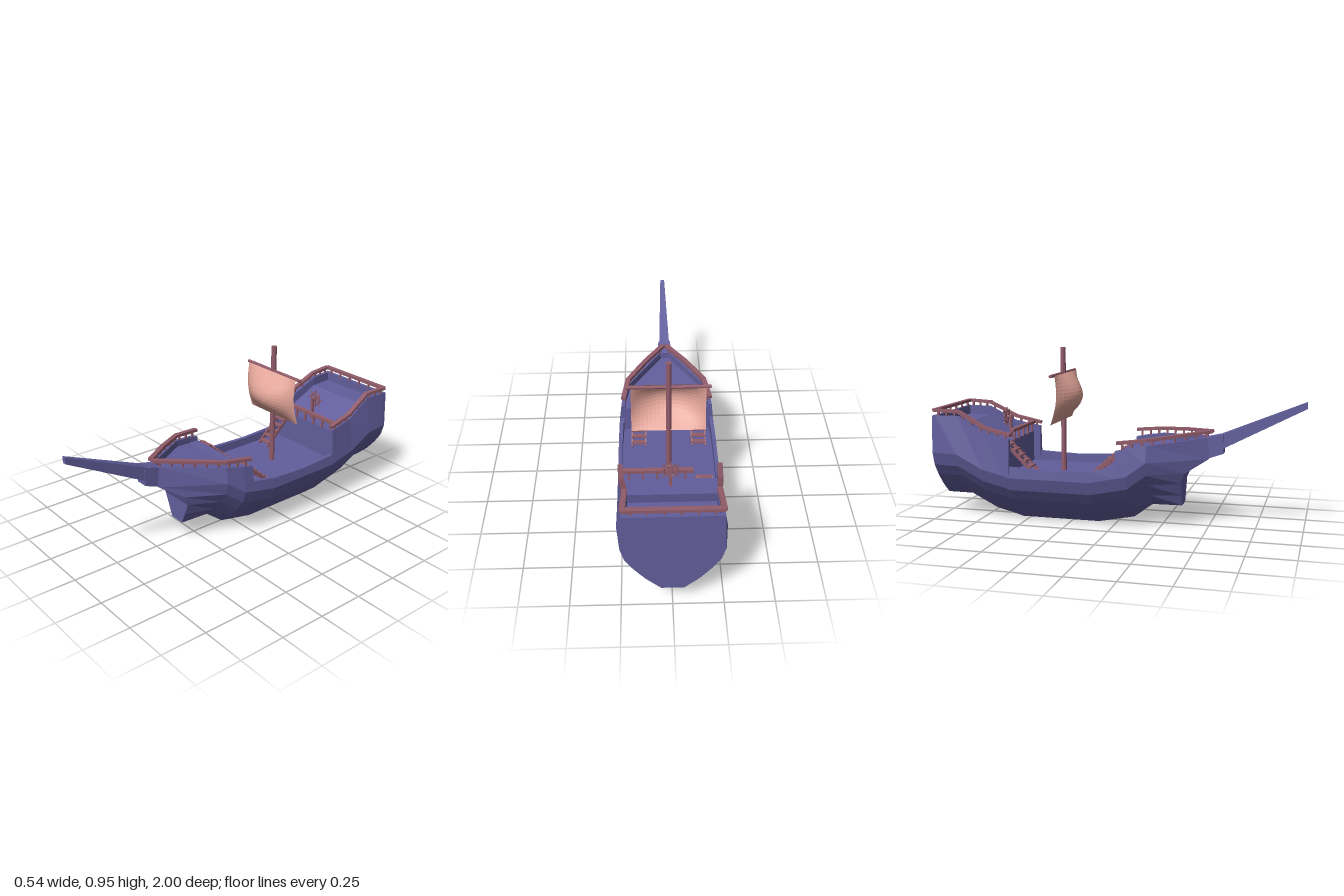
import * as THREE from 'three';

const mat = (name, color) => {
  const m = new THREE.MeshStandardMaterial({ color, flatShading: true });
  m.name = name;
  return m;
};
const V = (x, y, z) => new THREE.Vector3(x, y, z);

export function createModel() {
  const ship = new THREE.Group();
  ship.name = 'sailingShip';
  const hullMat = mat('hullBlue', 0x625e9c);
  const woodMat = mat('trimRed', 0x915c6a);
  const sailMat = mat('sailPink', 0xe3a599);
  sailMat.side = THREE.DoubleSide;

  const group = (name, parent = ship) => {
    const g = new THREE.Group();
    g.name = name;
    parent.add(g);
    return g;
  };
  const add = (parent, name, geo, material) => {
    const m = new THREE.Mesh(geo, material);
    m.name = name;
    parent.add(m);
    return m;
  };
  // Square bar stretched between two points
  const bar = (parent, name, a, b, w, h = w) => {
    const m = add(parent, name, new THREE.BoxGeometry(w, h, a.distanceTo(b)), woodMat);
    m.position.copy(a).lerp(b, 0.5);
    m.lookAt(b);
    return m;
  };
  // Skin closed cross-sections (listed towards +z, counter-clockwise) and cap both ends
  const loft = (name, rings) => {
    const pos = [], n = rings[0].length;
    const quad = (a, b, c, d) => [a, b, c, a, c, d].forEach(p => pos.push(p.x, p.y, p.z));
    for (let i = 0; i < rings.length - 1; i++)
      for (let k = 0; k < n; k++) {
        const l = (k + 1) % n;
        quad(rings[i][k], rings[i][l], rings[i + 1][l], rings[i + 1][k]);
      }
    const s = rings[0], e = rings[rings.length - 1];
    for (let k = 0; k < n / 2 - 1; k++) {
      quad(s[k], s[n - 1 - k], s[n - 2 - k], s[k + 1]);
      quad(e[k], e[k + 1], e[n - 2 - k], e[n - 1 - k]);
    }
    const geo = new THREE.BufferGeometry();
    geo.setAttribute('position', new THREE.Float32BufferAttribute(pos, 3));
    geo.computeVertexNormals();
    return add(ship, name, geo, hullMat);
  };
  const mirrorRing = half => [...half, ...half.map(p => V(-p.x, p.y, p.z)).reverse()];

  // Hull, bulwarks and decks in one skin
  const bilge = [[0.06, 0], [0.14, 0.065], [0.2, 0.13], [0.245, 0.19], [0.268, 0.26]];
  const section = ([z, keel, scale, topX, topY, deckY]) => mirrorRing([
    ...bilge.map(([x, y]) => V(x * scale, y + keel, z)),
    V(topX, topY, z), V(topX - 0.02, topY, z), V(topX - 0.02, deckY, z)]);
  const rings = [ // z, keel height, width scale, gunwale x, gunwale y, deck y
    [-1, 0.115, 0.92, 0.238, 0.58, 0.58],
    [-0.98, 0.115, 0.93, 0.236, 0.58, 0.58],
    [-0.98, 0.115, 0.93, 0.236, 0.58, 0.53],
    [-0.85, 0.115, 0.99, 0.228, 0.58, 0.53],
    [-0.7, 0.04, 1, 0.245, 0.5, 0.44],
    [-0.585, 0.012, 1, 0.253, 0.477, 0.44],
    [-0.585, 0.012, 1, 0.253, 0.477, 0.265],
    [-0.545, 0, 1, 0.256, 0.47, 0.265],
    [-0.545, 0, 1, 0.262, 0.32, 0.265],
    [-0.32, 0, 1, 0.264, 0.31, 0.265],
    [-0.1, 0, 1, 0.264, 0.32, 0.265],
    [0.04, 0.028, 0.99, 0.258, 0.343, 0.265],
    [0.04, 0.028, 0.99, 0.25, 0.432, 0.41],
    [0.1, 0.04, 0.98, 0.245, 0.445, 0.412],
    [0.2, 0.115, 0.9, 0.225, 0.462, 0.425]].map(section);
  // Raked stem
  rings.push(mirrorRing([
    V(0.045, 0.115, 0.36), V(0.07, 0.175, 0.36), V(0.1, 0.245, 0.36), V(0.11, 0.305, 0.385),
    V(0.043, 0.375, 0.5), V(0.032, 0.49, 0.505), V(0.012, 0.49, 0.5), V(0.012, 0.45, 0.495)]));
  loft('hull', rings);

  // Bowsprit and its block
  const rect = (z, w, y0, y1) => mirrorRing([V(w, y0, z), V(w, y1, z)]);
  loft('bowspritBlock', [rect(0.48, 0.042, 0.372, 0.485), rect(0.575, 0.034, 0.405, 0.508)]);
  loft('bowsprit', [rect(0.54, 0.03, 0.415, 0.497), rect(1, 0.012, 0.655, 0.69)]);

  // Railings: bars along a path with posts below
  const railing = (name, pts, posts, drop) => {
    const g = group(name);
    for (let i = 0; i < pts.length - 1; i++) {
      const dir = pts[i + 1].clone().sub(pts[i]).setLength(0.005);
      bar(g, 'handrail', pts[i].clone().sub(dir), pts[i + 1].clone().add(dir), 0.026, 0.016);
      for (let k = 0; k < posts[i]; k++) {
        const p = pts[i].clone().lerp(pts[i + 1], (k + 0.5) / posts[i]);
        bar(g, 'post', p, V(p.x, p.y - drop, p.z), 0.01);
      }
    }
  };
  for (const s of [1, -1]) {
    const side = s > 0 ? 'left' : 'right';
    railing(side + 'SternRail', [V(s * 0.247, 0.492, -0.545), V(s * 0.238, 0.524, -0.69),
      V(s * 0.22, 0.605, -0.85), V(s * 0.23, 0.61, -0.985)], [3, 3, 3], 0.04);
    railing(side + 'BowRail', [V(s * 0.237, 0.474, 0.05), V(s * 0.213, 0.49, 0.2),
      V(s * 0.115, 0.507, 0.36), V(s * 0.012, 0.518, 0.505)], [3, 3, 3], 0.05);
  }
  railing('transomRail', [V(-0.23, 0.61, -0.985), V(0.23, 0.61, -0.985)], [6], 0.04);
  railing('quarterdeckRail', [V(-0.11, 0.494, -0.585), V(0.238, 0.494, -0.585)], [5], 0.06);

  // Stairs: two stringers and a run of treads
  const stairs = (name, x, top, bottom, steps) => {
    const g = group(name);
    for (const s of [1, -1])
      bar(g, 'stringer', V(x + s * 0.037, top.y, top.z), V(x + s * 0.037, bottom.y, bottom.z), 0.008, 0.018);
    for (let i = 0; i < steps; i++) {
      const p = top.clone().lerp(bottom, (i + 0.5) / steps);
      add(g, 'tread', new THREE.BoxGeometry(0.08, 0.008, 0.03), woodMat).position.set(x, p.y + 0.006, p.z);
    }
  };
  stairs('leftBowStairs', 0.155, V(0, 0.41, 0.04), V(0, 0.268, -0.12), 6);
  stairs('rightBowStairs', -0.17, V(0, 0.41, 0.04), V(0, 0.268, -0.12), 6);
  stairs('sternStairs', -0.17, V(0, 0.44, -0.585), V(0, 0.268, -0.41), 6);

  // Steering wheel on its post
  const helm = group('helm');
  bar(helm, 'helmPost', V(0, 0.43, -0.635), V(0, 0.565, -0.635), 0.014);
  const wheel = group('wheel', helm);
  wheel.position.set(0, 0.555, -0.657);
  add(wheel, 'rim', new THREE.TorusGeometry(0.034, 0.004, 6, 16), woodMat);
  const hub = add(wheel, 'hub', new THREE.CylinderGeometry(0.009, 0.009, 0.035, 8), woodMat);
  hub.rotation.x = Math.PI / 2;
  hub.position.z = 0.01;
  for (let i = 0; i < 4; i++)
    add(wheel, 'spoke', new THREE.BoxGeometry(0.104, 0.006, 0.006), woodMat).rotation.z = i * Math.PI / 4;

  // Mast and yard
  const mast = add(ship, 'mast', new THREE.CylinderGeometry(0.015, 0.015, 0.69, 10), woodMat);
  mast.position.set(0, 0.605, -0.32);
  const yard = add(ship, 'yard', new THREE.CylinderGeometry(0.009, 0.009, 0.424, 8), woodMat);
  yard.rotation.z = Math.PI / 2;
  yard.position.set(0, 0.808, -0.322);

  // Billowing sail
  const sailGeo = new THREE.PlaneGeometry(0.38, 0.265, 18, 14);
  const p = sailGeo.attributes.position;
  for (let i = 0; i < p.count; i++) {
    const u = p.getX(i) / 0.19, v = 0.5 - p.getY(i) / 0.265;
    const belly = Math.sin(Math.PI * v) * (0.02 + 0.08 * (1 - u * u));
    p.setXYZ(i, p.getX(i), 0.677 + p.getY(i), -0.306 - 0.026 * v + belly);
  }
  sailGeo.computeVertexNormals();
  add(ship, 'sail', sailGeo, sailMat);

  return ship;
}
